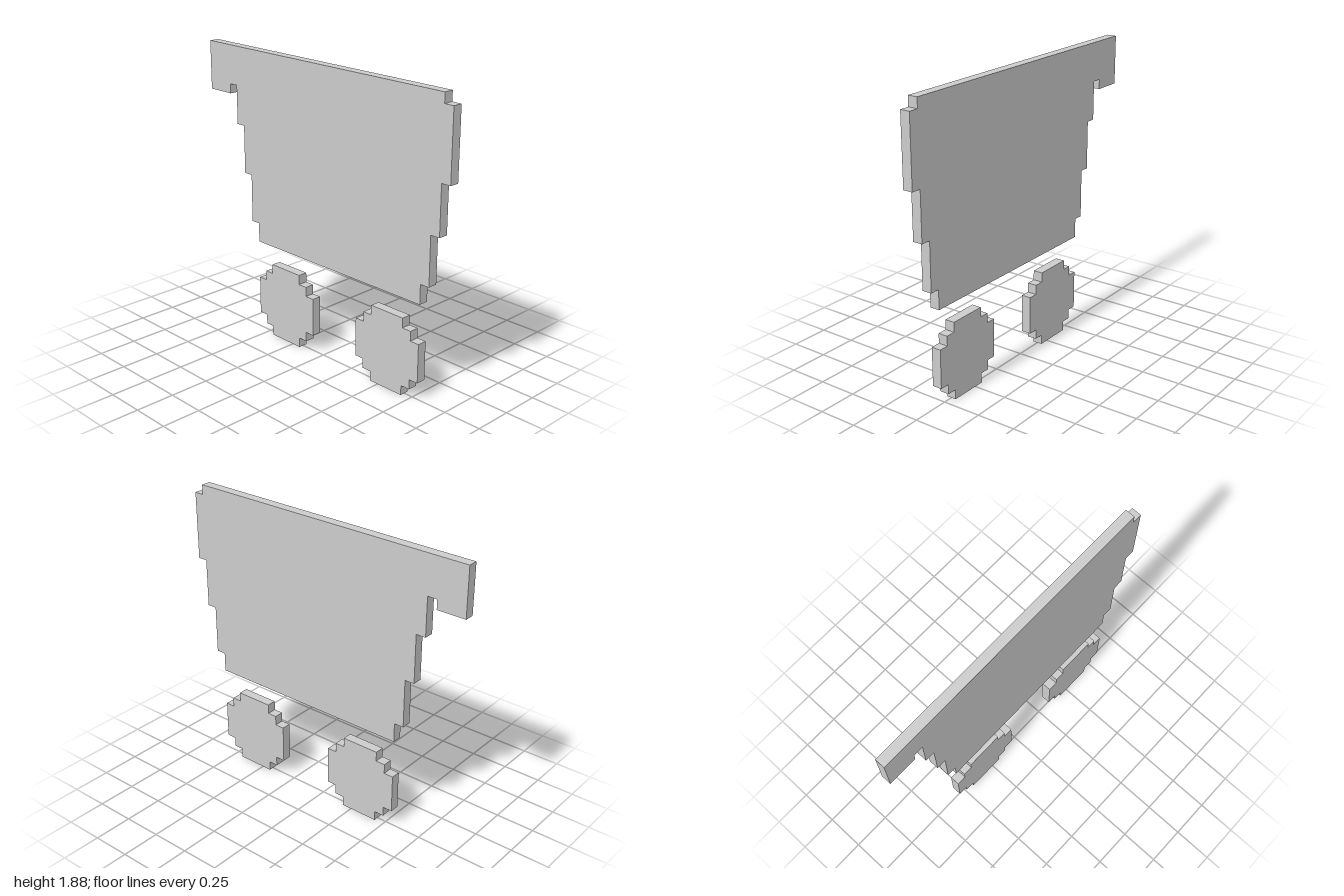
import * as THREE from 'three';

const U = 1 / 16; // one pixel of the stepped outline

// Extrudes an outline given in pixels to a plate one pixel thick
function plate(name, points, cx = 0, cy = 0) {
  const shape = new THREE.Shape(points.map(([x, y]) => new THREE.Vector2(x * U, y * U)));
  const geometry = new THREE.ExtrudeGeometry(shape, { depth: U, bevelEnabled: false });
  geometry.translate(cx * U, cy * U, -U / 2);
  const mesh = new THREE.Mesh(geometry, new THREE.MeshStandardMaterial({ color: 0xcccccc, flatShading: true }));
  mesh.name = name;
  return mesh;
}

export function createModel() {
  const group = new THREE.Group();
  group.name = 'shoppingCartIcon';

  // Tapered basket with the hooked handle at its upper right (-x)
  group.add(plate('basketAndHandle', [
    [-9, 10], [13, 10], [13, 12], [14, 12], [14, 17], [15, 17], [15, 22], [16, 22],
    [16, 29], [15, 29], [15, 30], [-16, 30], [-16, 25], [-13, 25], [-13, 26], [-12, 26],
    [-12, 22], [-11, 22], [-11, 17], [-10, 17], [-10, 12], [-9, 12],
  ]));

  // Stepped round wheels: one quarter turned four times
  const quarter = [[4, -2], [4, 2], [3, 2], [3, 3], [2, 3], [2, 4]];
  const wheel = [];
  for (let i = 0; i < 4; i++) {
    const c = [1, 0, -1, 0][i], s = [0, 1, 0, -1][i];
    // the last corner is the first of the next quarter
    for (const [x, y] of quarter.slice(0, 5)) wheel.push([c * x - s * y, s * x + c * y]);
  }
  group.add(plate('rightWheel', wheel, -5, 4), plate('leftWheel', wheel, 9, 4));

  return group;
}
